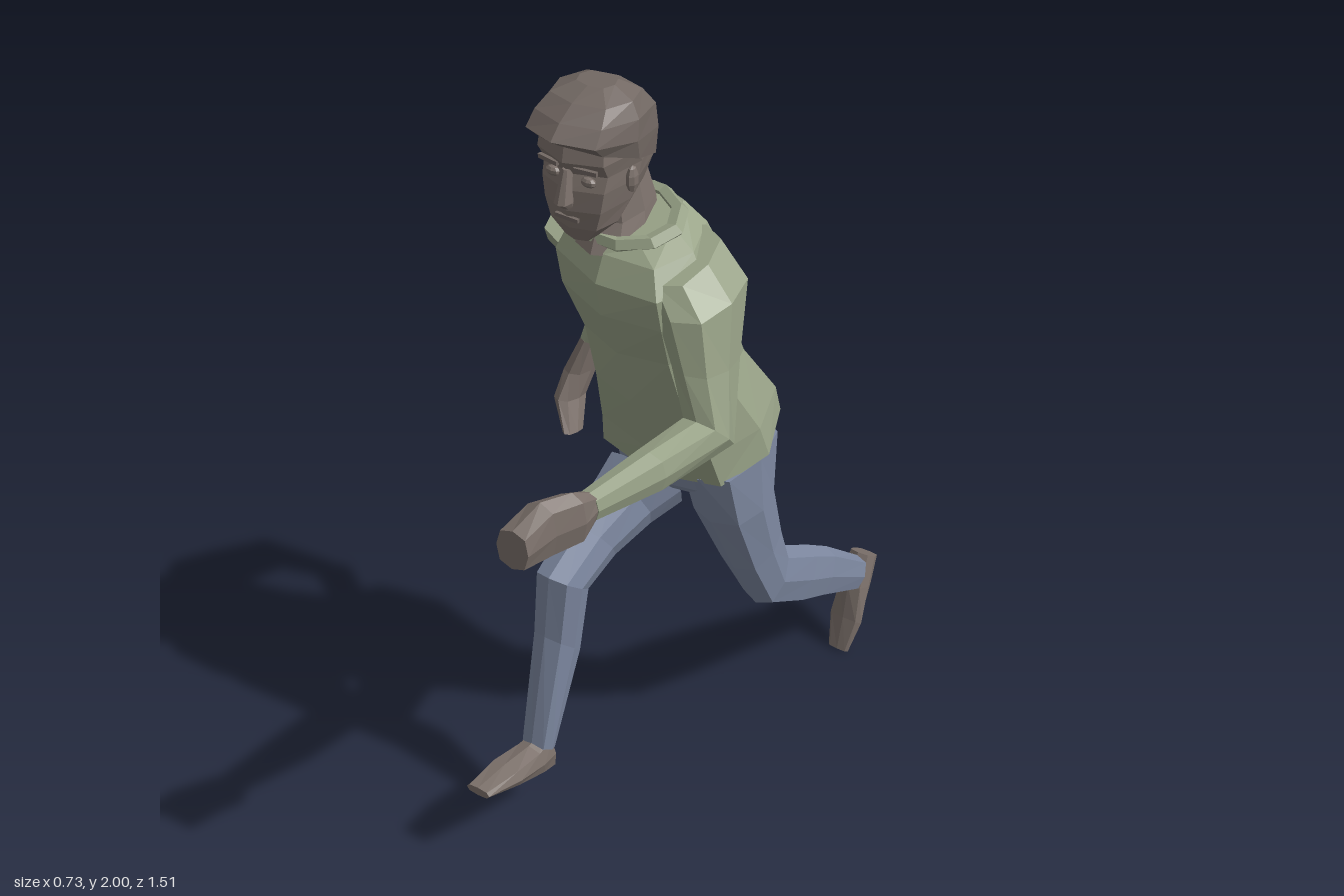
import * as THREE from 'three';

const mat = (name, color) => {
  const m = new THREE.MeshStandardMaterial({ color });
  m.name = name;
  return m;
};

// Eight-sided unit cross-section: [sideways, front-to-back]
const K = 0.77;
const RING = [[1, 0], [K, K], [0, 1], [-K, K], [-1, 0], [-K, -K], [0, -1], [K, -K]];

// Faceted, capped loft. Section: [x, halfWidth, frontZ, frontY, backZ, backY, twist]
function loft(sections) {
  const n = RING.length, pos = [], idx = [];
  for (const [x, hw, az, ay, bz, by, twist = 0] of sections) {
    for (const [u, v] of RING) {
      pos.push(x + u * hw, (ay + by) / 2 + v * (ay - by) / 2, (az + bz) / 2 + v * (az - bz) / 2 + u * hw * twist);
    }
  }
  for (let s = 0; s < sections.length - 1; s++) {
    for (let i = 0; i < n; i++) {
      const a = s * n + i, b = s * n + (i + 1) % n;
      idx.push(a, b, a + n, b, b + n, a + n);
    }
  }
  const last = (sections.length - 1) * n;
  for (let i = 1; i < n - 1; i++) idx.push(0, i + 1, i, last, last + i, last + i + 1);

  // Turn the faces outward: a negative signed volume means they are reversed
  const p = (i) => new THREE.Vector3().fromArray(pos, i * 3);
  let volume = 0;
  for (let i = 0; i < idx.length; i += 3) volume += p(idx[i]).dot(p(idx[i + 1]).cross(p(idx[i + 2])));
  if (volume < 0) idx.reverse();

  const g = new THREE.BufferGeometry();
  g.setAttribute('position', new THREE.Float32BufferAttribute(pos, 3));
  g.setIndex(idx);
  return faceted(g);
}

function faceted(g) {
  const flat = g.index ? g.toNonIndexed() : g;
  flat.computeVertexNormals();
  return flat;
}

export function createModel() {
  const skin = mat('skin and shoes', 0x7c716b);
  const hair = mat('hair', 0x726863);
  const cloth = mat('green shirt', 0x98a287);
  const denim = mat('blue trousers', 0x7d88a0);

  const model = new THREE.Group();
  model.name = 'runner';
  const add = (name, geometry, material, parent = model) => {
    const mesh = new THREE.Mesh(geometry, material);
    mesh.name = name;
    parent.add(mesh);
    return mesh;
  };

  // Shirt, leaning forward with the left shoulder ahead
  add('shirt', loft([
    [0.05, 0.22, 0.05, 0.93, -0.28, 1.03],
    [0.055, 0.2, 0.085, 1.03, -0.275, 1.09],
    [0.055, 0.155, 0.15, 1.2, -0.18, 1.23],
    [0.05, 0.16, 0.19, 1.35, -0.13, 1.36, 0.1],
    [0.04, 0.195, 0.235, 1.47, -0.1, 1.5, 0.15],
    [0.03, 0.205, 0.24, 1.55, -0.08, 1.58, 0.2],
    [0.03, 0.17, 0.21, 1.61, -0.055, 1.64, 0.2],
    [0.015, 0.12, 0.2, 1.63, -0.01, 1.685],
  ]), cloth);
  const collar = add('collar', faceted(new THREE.TorusGeometry(0.115, 0.02, 5, 10)), cloth);
  collar.scale.set(1.1, 0.85, 1);
  collar.rotation.x = Math.PI / 2 + 0.25;
  collar.position.set(0.015, 1.655, 0.1);

  // Left arm, bent and reaching forward
  add('leftSleeve', loft([
    [0.17, 0.07, 0.21, 1.58, 0.02, 1.64],
    [0.225, 0.08, 0.235, 1.52, 0, 1.55],
    [0.265, 0.06, 0.24, 1.4, 0.07, 1.38],
    [0.305, 0.055, 0.25, 1.3, 0.15, 1.195],
    [0.285, 0.045, 0.4, 1.3, 0.4, 1.203],
    [0.245, 0.03, 0.57, 1.275, 0.57, 1.21],
  ]), cloth);
  add('leftHand', loft([
    [0.245, 0.028, 0.56, 1.275, 0.56, 1.215],
    [0.235, 0.038, 0.61, 1.3, 0.61, 1.17],
    [0.205, 0.042, 0.68, 1.305, 0.68, 1.165],
    [0.185, 0.042, 0.75, 1.265, 0.757, 1.17],
  ]), skin);

  // Right arm, swung back
  add('rightSleeve', loft([
    [-0.13, 0.07, 0.16, 1.56, -0.03, 1.63],
    [-0.175, 0.075, 0.08, 1.47, -0.07, 1.6],
    [-0.19, 0.06, -0.07, 1.39, -0.15, 1.53],
    [-0.185, 0.05, -0.185, 1.345, -0.262, 1.43],
    [-0.225, 0.04, -0.165, 1.26, -0.255, 1.27],
    [-0.31, 0.025, -0.17, 1.04, -0.24, 1.04],
  ]), cloth);
  add('rightHand', loft([
    [-0.308, 0.023, -0.17, 1.05, -0.235, 1.05],
    [-0.335, 0.032, -0.14, 0.96, -0.24, 0.95],
    [-0.34, 0.028, -0.1, 0.9, -0.2, 0.88],
    [-0.3, 0.015, -0.07, 0.83, -0.14, 0.815],
  ]), skin);

  // Trousers
  add('hips', loft([
    [0.06, 0.17, 0.06, 1.05, -0.2, 1.1],
    [0.06, 0.195, 0.035, 0.95, -0.245, 1],
    [0.06, 0.19, 0.02, 0.89, -0.235, 0.92],
    [0.06, 0.1, -0.02, 0.85, -0.18, 0.84],
  ]), denim);
  add('leftTrouserLeg', loft([
    [0.165, 0.09, 0.03, 0.95, -0.24, 0.98],
    [0.175, 0.085, -0.015, 0.8, -0.215, 0.82],
    [0.185, 0.066, -0.11, 0.6, -0.26, 0.66],
    [0.195, 0.056, -0.2, 0.435, -0.29, 0.56],
    [0.2, 0.052, -0.345, 0.345, -0.43, 0.475],
    [0.207, 0.046, -0.45, 0.295, -0.52, 0.415],
    [0.21, 0.038, -0.645, 0.19, -0.69, 0.275],
  ]), denim);
  add('rightTrouserLeg', loft([
    [-0.035, 0.1, 0, 0.91, -0.1, 0.74],
    [-0.06, 0.08, 0.05, 0.855, -0.02, 0.705],
    [-0.075, 0.066, 0.17, 0.79, 0.09, 0.672],
    [-0.075, 0.058, 0.3, 0.72, 0.19, 0.635],
    [-0.085, 0.052, 0.31, 0.54, 0.21, 0.45],
    [-0.09, 0.042, 0.37, 0.23, 0.31, 0.2],
  ]), denim);

  // Shoes, heel to toe
  add('leftShoe', loft([
    [0.21, 0.034, -0.69, 0.285, -0.757, 0.245],
    [0.21, 0.042, -0.645, 0.2, -0.722, 0.18],
    [0.21, 0.048, -0.628, 0.1, -0.662, 0.08],
    [0.21, 0.03, -0.605, 0.005, -0.62, 0],
  ]), skin);
  add('rightShoe', loft([
    [-0.09, 0.036, 0.325, 0.24, 0.31, 0.122],
    [-0.09, 0.042, 0.38, 0.235, 0.36, 0.14],
    [-0.095, 0.048, 0.47, 0.24, 0.46, 0.178],
    [-0.095, 0.034, 0.575, 0.244, 0.577, 0.222],
  ]), skin);

  // Head and neck
  const head = new THREE.Group();
  head.name = 'head';
  model.add(head);
  const X = -0.012;
  add('neck', loft([
    [0.005, 0.075, 0.222, 1.605, 0.02, 1.63],
    [0, 0.066, 0.185, 1.67, 0.02, 1.69],
    [X, 0.06, 0.175, 1.78, 0.05, 1.8],
  ]), skin, head);
  add('face', loft([
    [X, 0.038, 0.255, 1.655, 0.19, 1.67],
    [X, 0.078, 0.275, 1.695, 0.13, 1.71],
    [X, 0.095, 0.284, 1.74, 0.075, 1.765],
    [X, 0.105, 0.284, 1.79, 0.05, 1.81],
    [X, 0.108, 0.272, 1.825, 0.042, 1.85],
    [X, 0.112, 0.294, 1.86, 0.04, 1.88],
    [X, 0.105, 0.28, 1.93, 0.05, 1.93],
    [X, 0.07, 0.22, 1.97, 0.11, 1.97],
  ]), skin, head);
  add('hair', loft([
    [X, 0.112, 0.296, 1.9, 0.045, 1.8],
    [X, 0.117, 0.332, 1.925, 0.036, 1.87],
    [X, 0.112, 0.3, 1.955, 0.045, 1.93],
    [X, 0.094, 0.255, 1.982, 0.085, 1.975],
    [X, 0.045, 0.2, 2, 0.13, 2],
  ]), hair, head);
  add('nose', loft([
    [X, 0.009, 0.288, 1.84, 0.26, 1.84],
    [X, 0.019, 0.313, 1.765, 0.26, 1.765],
    [X, 0.014, 0.292, 1.748, 0.26, 1.748],
  ]), skin, head);
  add('mouth', new THREE.BoxGeometry(0.06, 0.009, 0.008), hair, head).position.set(X, 1.722, 0.28);

  // Paired eyes, brows and ears
  for (const [side, s] of [['left', 1], ['right', -1]]) {
    const eye = add(side + 'Eye', faceted(new THREE.SphereGeometry(0.018, 8, 5)), skin, head);
    eye.scale.set(1.1, 0.65, 0.6);
    eye.position.set(X + s * 0.046, 1.814, 0.264);
    const brow = add(side + 'Brow', new THREE.BoxGeometry(0.055, 0.01, 0.009), hair, head);
    brow.position.set(X + s * 0.048, 1.846, 0.277);
    brow.rotation.y = s * 0.15;
    const ear = add(side + 'Ear', faceted(new THREE.SphereGeometry(0.032, 7, 5)), skin, head);
    ear.scale.set(0.4, 1, 0.55);
    ear.position.set(X + s * 0.11, 1.812, 0.195);
  }

  return model;
}
